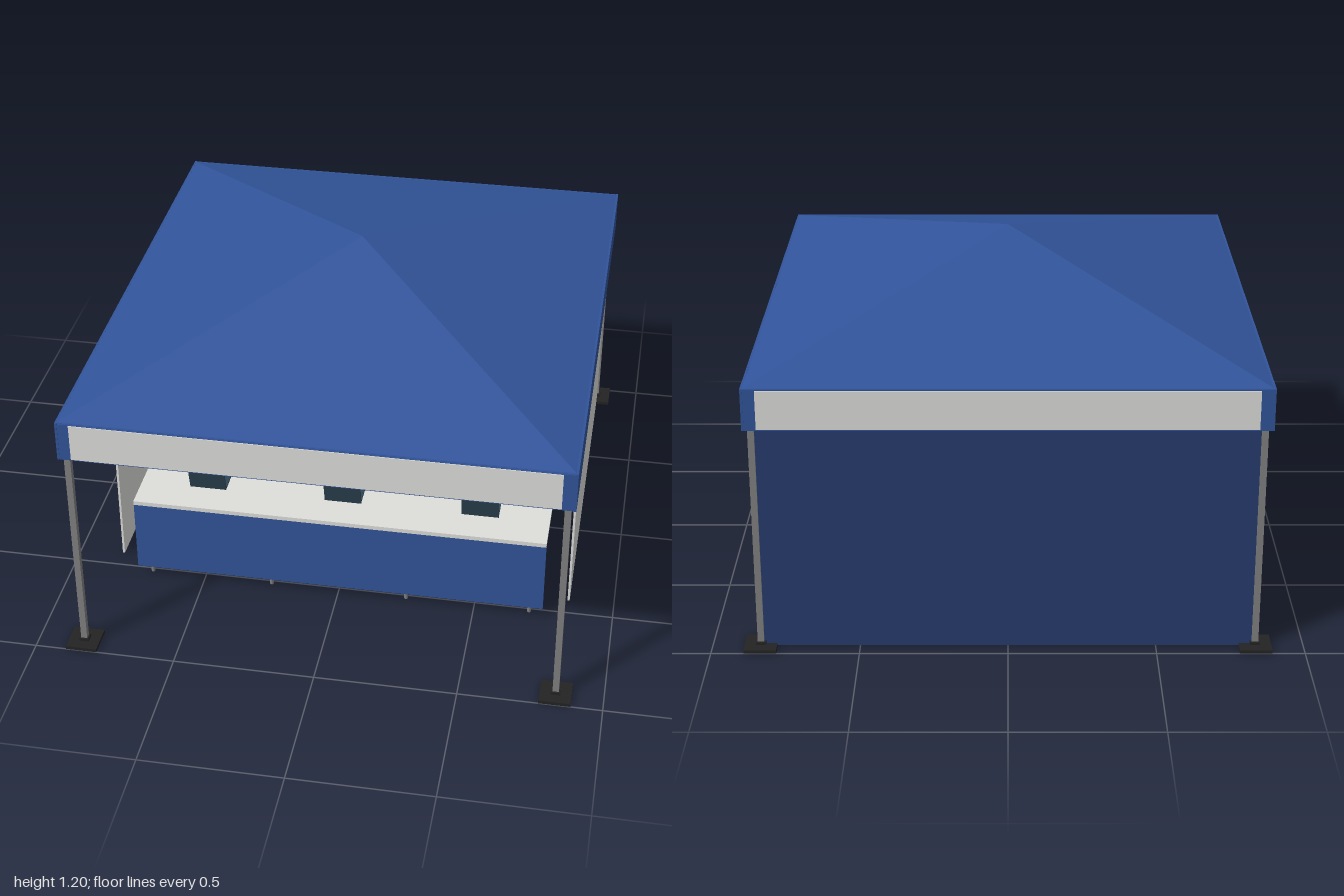
import * as THREE from 'three';

const mat = (name, color, extra = {}) => {
  const m = new THREE.MeshStandardMaterial({ color, ...extra });
  m.name = name;
  return m;
};
const M = {
  blue: mat('canopy blue', 0x31549a, { side: THREE.DoubleSide, flatShading: true }),
  navy: mat('wall navy', 0x273b6d),
  white: mat('off white', 0xdededb),
  metal: mat('grey metal', 0x808080),
  black: mat('black', 0x232323),
  slate: mat('screen slate', 0x2f4655),
  skin: mat('skin', 0xb07a55),
  trousers: mat('dark trousers', 0x33302e),
};

function add(parent, name, geo, material, x = 0, y = 0, z = 0) {
  const mesh = new THREE.Mesh(geo, material);
  mesh.name = name;
  mesh.position.set(x, y, z);
  parent.add(mesh);
  return mesh;
}

// Box given by its extents
function box(parent, name, material, x0, x1, y0, y1, z0, z1) {
  return add(parent, name, new THREE.BoxGeometry(x1 - x0, y1 - y0, z1 - z0), material,
    (x0 + x1) / 2, (y0 + y1) / 2, (z0 + z1) / 2);
}

// Tapered rod between two points
function rod(parent, name, material, a, b, r0, r1 = r0, sides = 8) {
  const p = new THREE.Vector3(...a), q = new THREE.Vector3(...b);
  const d = q.clone().sub(p);
  const mesh = add(parent, name, new THREE.CylinderGeometry(r1, r0, d.length(), sides), material);
  mesh.position.copy(p).add(q).multiplyScalar(0.5);
  mesh.quaternion.setFromUnitVectors(new THREE.Vector3(0, 1, 0), d.normalize());
  return mesh;
}

function ball(parent, name, material, x, y, z, sx, sy, sz) {
  const mesh = add(parent, name, new THREE.SphereGeometry(1, 14, 10), material, x, y, z);
  mesh.scale.set(sx, sy, sz);
  return mesh;
}

function group(parent, name) {
  const g = new THREE.Group();
  g.name = name;
  parent.add(g);
  return g;
}

function buildCanopy(root) {
  const g = group(root, 'canopy');
  // Pyramid roof
  const roof = new THREE.ConeGeometry(Math.SQRT2, 1, 4, 1, true);
  roof.rotateY(Math.PI / 4);
  roof.scale(0.862, 0.258, 0.972);
  add(g, 'roof', roof, M.blue, 0, 1.072, 0);
  // Valance with white panels front and back
  for (const s of [-1, 1]) {
    add(g, 'sideValance', new THREE.BoxGeometry(0.008, 0.145, 1.944), M.blue, s * 0.858, 0.873, 0);
    add(g, 'endValance', new THREE.BoxGeometry(1.716, 0.145, 0.008), M.blue, 0, 0.873, s * 0.966);
    add(g, 'valancePanel', new THREE.BoxGeometry(1.63, 0.134, 0.004), M.white, 0, 0.872, s * 0.971);
  }
  // Scissor trusses under the eaves
  for (const s of [-1, 1]) {
    for (let i = 0; i < 4; i++) {
      const x0 = -0.82 + i * 0.41, z0 = -0.92 + i * 0.46;
      for (const [a, b] of [[0.83, 0.92], [0.92, 0.83]]) {
        rod(g, 'truss', M.metal, [x0, a, s * 0.945], [x0 + 0.41, b, s * 0.945], 0.006, 0.006, 4);
        rod(g, 'truss', M.metal, [s * 0.835, a, z0], [s * 0.835, b, z0 + 0.46], 0.006, 0.006, 4);
      }
    }
  }
  // Poles and foot plates
  for (const x of [-0.835, 0.835]) for (const z of [-0.945, 0.945]) {
    add(g, 'pole', new THREE.BoxGeometry(0.022, 0.93, 0.022), M.metal, x, 0.465, z);
    add(g, 'footPlate', new THREE.BoxGeometry(0.11, 0.012, 0.11), M.black, x, 0.006, z);
    add(g, 'footSocket', new THREE.BoxGeometry(0.034, 0.022, 0.034), M.black, x, 0.011, z);
  }
}

function buildWalls(root) {
  const g = group(root, 'walls');
  box(g, 'backWall', M.navy, -0.828, 0.828, 0.003, 0.86, -0.948, -0.94);
  for (const s of [-1, 1])
    add(g, 'sideWall', new THREE.BoxGeometry(0.008, 0.84, 1.37), M.white, s * 0.836, 0.423, -0.252);
}

function buildPerson(root, x, shirt, longHair) {
  const g = group(root, 'person');
  g.position.x = x;
  // Torso, neck and head
  const torso = new THREE.LatheGeometry([[0, 0.2], [0.062, 0.205], [0.056, 0.3], [0.07, 0.42],
    [0.068, 0.465], [0.045, 0.488], [0.018, 0.496], [0, 0.496]].map(p => new THREE.Vector2(...p)), 14);
  torso.scale(1, 1, 0.62);
  add(g, 'torso', torso, shirt, 0, 0, 0.14);
  rod(g, 'neck', M.skin, [0, 0.48, 0.14], [0, 0.53, 0.147], 0.019);
  ball(g, 'head', M.skin, 0, 0.558, 0.152, 0.031, 0.048, 0.037);
  ball(g, 'nose', M.skin, 0, 0.553, 0.19, 0.005, 0.01, 0.007);
  ball(g, 'hair', M.black, 0, 0.576, 0.14, 0.034, 0.038, 0.037);
  if (longHair) {
    ball(g, 'longHair', M.black, 0, 0.55, 0.128, 0.042, 0.06, 0.03);
    ball(g, 'fringe', M.black, -0.012, 0.595, 0.155, 0.034, 0.02, 0.032);
  }
  for (const s of [-1, 1]) {
    ball(g, 'ear', M.skin, s * 0.032, 0.556, 0.152, 0.005, 0.012, 0.008);
    // Arms
    ball(g, 'shoulder', shirt, s * 0.072, 0.462, 0.14, 0.027, 0.028, 0.028);
    rod(g, 'upperArm', shirt, [s * 0.078, 0.465, 0.14], [s * 0.1, 0.36, 0.17], 0.026, 0.023);
    ball(g, 'elbow', shirt, s * 0.1, 0.36, 0.17, 0.023, 0.023, 0.023);
    rod(g, 'forearm', shirt, [s * 0.1, 0.36, 0.17], [s * 0.072, 0.353, 0.29], 0.022, 0.016);
    ball(g, 'hand', M.skin, s * 0.066, 0.347, 0.312, 0.016, 0.012, 0.03);
    // Legs
    rod(g, 'thigh', M.trousers, [s * 0.035, 0.215, 0.13], [s * 0.045, 0.215, 0.325], 0.033, 0.026);
    ball(g, 'knee', M.trousers, s * 0.045, 0.213, 0.327, 0.027, 0.027, 0.027);
    rod(g, 'shin', M.trousers, [s * 0.045, 0.213, 0.33], [s * 0.055, 0.03, 0.36], 0.025, 0.016);
    ball(g, 'shoe', M.black, s * 0.056, 0.017, 0.388, 0.02, 0.017, 0.046);
  }
  // Stool
  add(g, 'stoolSeat', new THREE.CylinderGeometry(0.062, 0.062, 0.014, 16), M.black, 0, 0.183, 0.14);
  rod(g, 'stoolPost', M.metal, [0, 0.008, 0.14], [0, 0.18, 0.14], 0.009);
  // Laptop
  box(g, 'laptopBase', M.slate, -0.066, 0.066, 0.331, 0.338, 0.32, 0.415);
  const lid = add(g, 'laptopLid', new THREE.BoxGeometry(0.134, 0.1, 0.006), M.slate, 0, 0.382, 0.428);
  lid.rotation.x = 0.25;
}

function buildDeskRow(root, z) {
  const g = group(root, 'deskRow');
  g.position.z = z;
  box(g, 'deskTop', M.white, -0.75, 0.75, 0.314, 0.33, 0.245, 0.54);
  box(g, 'deskPanel', M.blue, -0.75, 0.75, 0.035, 0.314, 0.531, 0.538);
  for (const x of [-0.7, -0.25, 0.25, 0.7])
    for (const lz of [0.275, 0.515])
      rod(g, 'deskLeg', M.metal, [x, 0, lz], [x, 0.315, lz], 0.007);
  buildPerson(g, -0.5, M.blue, false);
  buildPerson(g, 0, M.white, true);
  buildPerson(g, 0.5, M.black, false);
}

function buildDisplay(root) {
  const g = group(root, 'display');
  box(g, 'displayFrame', M.black, 0.385, 0.805, 0.537, 0.797, -0.86, -0.83);
  box(g, 'displayScreen', M.slate, 0.4, 0.79, 0.555, 0.78, -0.832, -0.827);
  box(g, 'displayPost', M.black, 0.58, 0.615, 0.01, 0.6, -0.885, -0.86);
  box(g, 'displayBase', M.black, 0.53, 0.665, 0, 0.015, -0.92, -0.8);
}

export function createModel() {
  const root = new THREE.Group();
  root.name = 'eventTent';
  buildCanopy(root);
  buildWalls(root);
  for (const z of [0, -0.765]) buildDeskRow(root, z);
  buildDisplay(root);
  // Storage cabinet in the back corner
  box(root, 'cabinet', M.trousers, -0.735, -0.56, 0.005, 0.17, -0.88, -0.69);
  return root;
}
